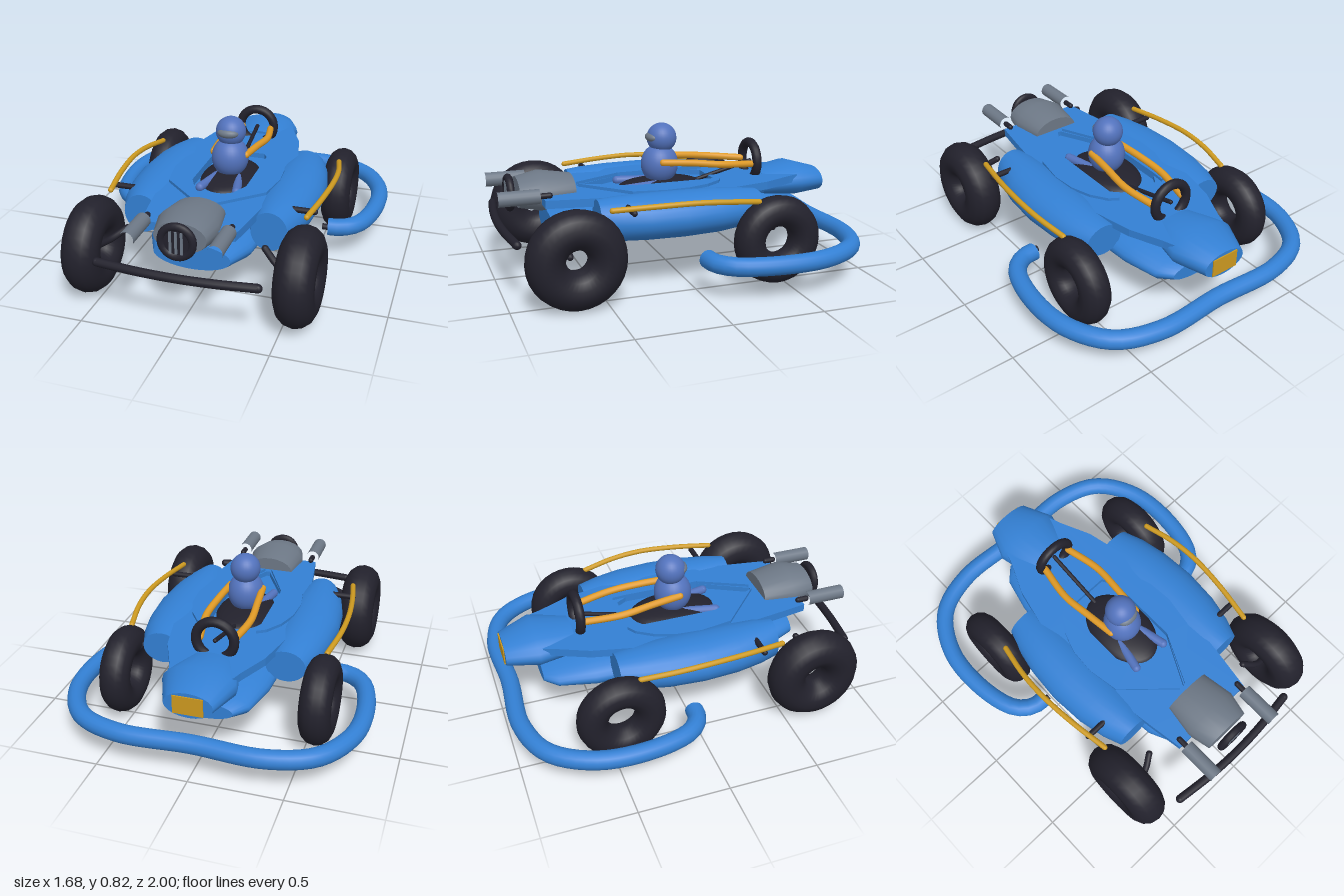
import * as THREE from 'three';

const mat = (name, color) => {
  const m = new THREE.MeshStandardMaterial({ color });
  m.name = name;
  return m;
};

export function createModel() {
  const blue = mat('body blue', 0x3380d4);
  const black = mat('rubber black', 0x22212c);
  const grey = mat('metal grey', 0x6d7886);
  const suit = mat('driver blue', 0x5272bc);
  const orange = mat('sleeve orange', 0xdf9a26);
  const amber = mat('rail amber', 0xcd9a20);

  const group = new THREE.Group();
  const V = (p) => new THREE.Vector3(...p);

  function add(name, geo, material, pos = [0, 0, 0], scale = [1, 1, 1]) {
    const m = new THREE.Mesh(geo, material);
    m.name = name;
    m.position.set(...pos);
    m.scale.set(...scale);
    group.add(m);
    return m;
  }

  // Round tube through points, with ball ends
  function tube(name, pts, r, material, ends = true, seg = 24, sides = 12) {
    const curve = new THREE.CatmullRomCurve3(pts.map(V));
    add(name, new THREE.TubeGeometry(curve, seg, r, sides), material);
    if (ends) for (const p of [pts[0], pts[pts.length - 1]])
      add(name + 'End', new THREE.SphereGeometry(r, 12, 8), material, p);
  }

  // Capped loft along z through elliptical sections [z, cx, cy, rx, ry]
  function loft(sections, n = 24) {
    const pos = [], idx = [];
    const ring = ([z, cx, cy, rx, ry]) => {
      for (let k = 0; k < n; k++) {
        const a = (k / n) * Math.PI * 2;
        pos.push(cx + rx * Math.cos(a), cy + ry * Math.sin(a), z);
      }
    };
    sections.forEach(ring);
    for (let i = 0; i < sections.length - 1; i++)
      for (let k = 0; k < n; k++) {
        const a = i * n + k, b = i * n + (k + 1) % n;
        idx.push(a, b, a + n, b, b + n, a + n);
      }
    [sections[0], sections[sections.length - 1]].forEach((s, end) => {
      const base = pos.length / 3;
      ring(s);
      pos.push(s[1], s[2], s[0]);
      for (let k = 0; k < n; k++) {
        const a = base + k, b = base + (k + 1) % n;
        idx.push(base + n, end ? a : b, end ? b : a);
      }
    });
    const g = new THREE.BufferGeometry();
    g.setAttribute('position', new THREE.Float32BufferAttribute(pos, 3));
    g.setIndex(idx);
    g.computeVertexNormals();
    return g;
  }

  // Plan outline (x, z) extruded downwards from its mesh position
  function slab(pts, depth, hole) {
    const shape = new THREE.Shape(pts.map(([x, z]) => new THREE.Vector2(x, z)));
    if (hole) shape.holes.push(new THREE.Path(hole.map(([x, z]) => new THREE.Vector2(x, z))));
    const g = new THREE.ExtrudeGeometry(shape, { depth, bevelEnabled: false });
    return g.rotateX(Math.PI / 2);
  }
  const mirrored = (half) => [...half, ...half.map(([x, z]) => [-x, z]).reverse()];

  // Lower hull
  add('lowerHull', loft([
    [-0.77, 0, 0.297, 0.17, 0.048], [-0.7, 0, 0.3, 0.24, 0.07], [-0.5, 0, 0.31, 0.29, 0.098],
    [-0.2, 0, 0.31, 0.305, 0.11], [0.3, 0, 0.31, 0.305, 0.11], [0.55, 0, 0.31, 0.28, 0.1],
    [0.7, 0, 0.31, 0.21, 0.075],
  ], 32), blue);

  // Upper deck with cockpit opening, and the recessed floor below it
  const deck = mirrored([[0.17, -0.76], [0.19, -0.7], [0.27, -0.52], [0.33, -0.25],
    [0.33, 0.1], [0.31, 0.35], [0.28, 0.56], [0.25, 0.75]]);
  const cockpit = mirrored([[0.12, -0.26], [0.155, -0.2], [0.155, 0.24], [0.01, 0.52]]);
  add('deck', slab(deck, 0.045, cockpit), blue, [0, 0.505, 0]);
  add('cockpitFloor', slab(cockpit, 0.03), blue, [0, 0.475, 0]);

  // Nose with number plate
  add('nose', loft([
    [-0.955, 0, 0.435, 0.13, 0.07], [-0.78, 0, 0.455, 0.2, 0.1], [-0.57, 0, 0.445, 0.15, 0.075],
  ], 20), blue);
  add('nosePlate', new THREE.BoxGeometry(0.16, 0.1, 0.009), amber, [0, 0.435, -0.957]);

  for (const s of [1, -1]) {
    // Raised cowl beside the cockpit
    add('cowl', slab([[0.15, -0.28], [0.2, -0.25], [0.26, -0.16], [0.3, -0.04], [0.31, 0.1],
      [0.28, 0.28], [0.02, 0.52], [0.155, 0.24], [0.155, -0.2]].map(([x, z]) => [s * x, z]), 0.02),
    blue, [0, 0.522, 0]);

    // Side pod
    add('sidePod', loft([
      [-0.41, s * 0.35, 0.405, 0.11, 0.09], [-0.3, s * 0.36, 0.405, 0.14, 0.105],
      [-0.15, s * 0.37, 0.405, 0.16, 0.118], [0.05, s * 0.375, 0.405, 0.17, 0.122],
      [0.25, s * 0.37, 0.405, 0.16, 0.122], [0.4, s * 0.36, 0.405, 0.135, 0.118],
      [0.5, s * 0.355, 0.405, 0.1, 0.11],
    ]), blue);

    // Wheels are plain fat rings
    const wheel = (name, R, t, pos) =>
      add(name, new THREE.TorusGeometry(R, t, 14, 32).rotateY(Math.PI / 2), black, pos);
    wheel('largeWheel', 0.16, 0.104, [s * 0.567, 0.273, 0.665]);
    wheel('smallWheel', 0.16, 0.085, [s * 0.555, 0.26, -0.445]);

    // Wheel arms and rail pegs
    tube('axleArm', [[s * 0.53, 0.28, 0.69], [s * 0.45, 0.335, 0.69], [s * 0.375, 0.39, 0.645]], 0.018, black);
    tube('smallAxleArm', [[s * 0.55, 0.33, -0.42], [s * 0.46, 0.4, -0.385], [s * 0.4, 0.4, -0.38]], 0.018, black);
    tube('railPeg', [[s * 0.565, 0.485, 0.36], [s * 0.43, 0.485, 0.36]], 0.016, black);

    // Side rail
    tube('sideRail', [[s * 0.545, 0.505, 0.47], [s * 0.58, 0.515, 0.25], [s * 0.598, 0.518, 0.03],
      [s * 0.59, 0.505, -0.15], [s * 0.557, 0.48, -0.335]], 0.015, amber);

    // Exhaust: open pipe on a small peg
    add('exhaust', new THREE.CylinderGeometry(0.04, 0.04, 0.22, 16, 1, true).rotateX(Math.PI / 2),
      grey, [s * 0.225, 0.525, 0.885]);
    tube('exhaustPeg', [[s * 0.225, 0.525, 0.72], [s * 0.225, 0.525, 0.77]], 0.016, black);

    // Driver's arm and leg
    tube('arm', [[s * 0.095, 0.62, 0.045], [s * 0.112, 0.61, -0.12], [s * 0.125, 0.59, -0.3],
      [s * 0.09, 0.57, -0.51]], 0.02, orange);
    tube('leg', [[s * 0.06, 0.49, 0.06], [s * 0.105, 0.49, 0.26]], 0.025, suit);
    add('bumperEnd', new THREE.CylinderGeometry(0.018, 0.018, 0.04, 10).rotateZ(Math.PI / 2),
      black, [s * 0.555, 0.2, -0.03]);
  }

  // Wrap-around bumper
  const bumperHalf = [[0.565, -0.04], [0.64, -0.05], [0.725, -0.125], [0.785, -0.36],
    [0.765, -0.64], [0.63, -0.86], [0.39, -0.95]];
  const bumper = [...bumperHalf, [0, -0.938], ...bumperHalf.map(([x, z]) => [-x, z]).reverse()];
  const bumperPts = bumper.map(([x, z]) => [x, 0.198, z]);
  tube('bumper', bumperPts, 0.05, blue, false, 64, 16);
  for (const s of [1, -1])
    add('bumperCap', new THREE.CircleGeometry(0.05, 16).rotateY(-s * Math.PI / 2), blue, [s * 0.565, 0.198, -0.04]);

  // Crossbar behind the engine
  tube('crossbar', [[-0.42, 0.335, 0.935], [-0.2, 0.335, 0.96], [0, 0.335, 0.968],
    [0.2, 0.335, 0.96], [0.42, 0.335, 0.935]], 0.023, black);

  // Engine with round grille
  add('engine', loft([
    [0.555, 0, 0.5, 0.14, 0.08], [0.735, 0, 0.5, 0.168, 0.11], [0.86, 0, 0.5, 0.14, 0.083],
  ], 20), grey);
  add('grilleRing', new THREE.TorusGeometry(0.083, 0.021, 10, 28), black, [0, 0.5, 0.9]);
  add('grilleDisc', new THREE.CylinderGeometry(0.08, 0.08, 0.03, 28).rotateX(Math.PI / 2), black, [0, 0.5, 0.895]);
  for (const x of [-0.03, 0, 0.03])
    add('grilleBar', new THREE.BoxGeometry(0.012, 0.12, 0.009), grey, [x, 0.5, 0.914]);

  // Seat, steering wheel and column
  add('seat', new THREE.SphereGeometry(1, 32, 16), black, [0, 0.465, 0.03], [0.165, 0.055, 0.25]);
  add('steeringWheel', new THREE.TorusGeometry(0.105, 0.027, 12, 28), black, [0, 0.575, -0.53]);
  tube('steeringColumn', [[0, 0.57, -0.53], [0, 0.48, -0.18]], 0.012, black);

  // Driver
  add('torso', new THREE.SphereGeometry(1, 28, 20), suit, [0, 0.595, 0.035], [0.105, 0.115, 0.107]);
  add('helmet', new THREE.SphereGeometry(0.085, 28, 20), suit, [0, 0.745, 0.022]);
  add('visor', new THREE.SphereGeometry(1, 24, 14), grey, [0, 0.752, 0.075], [0.062, 0.03, 0.042]);

  return group;
}
